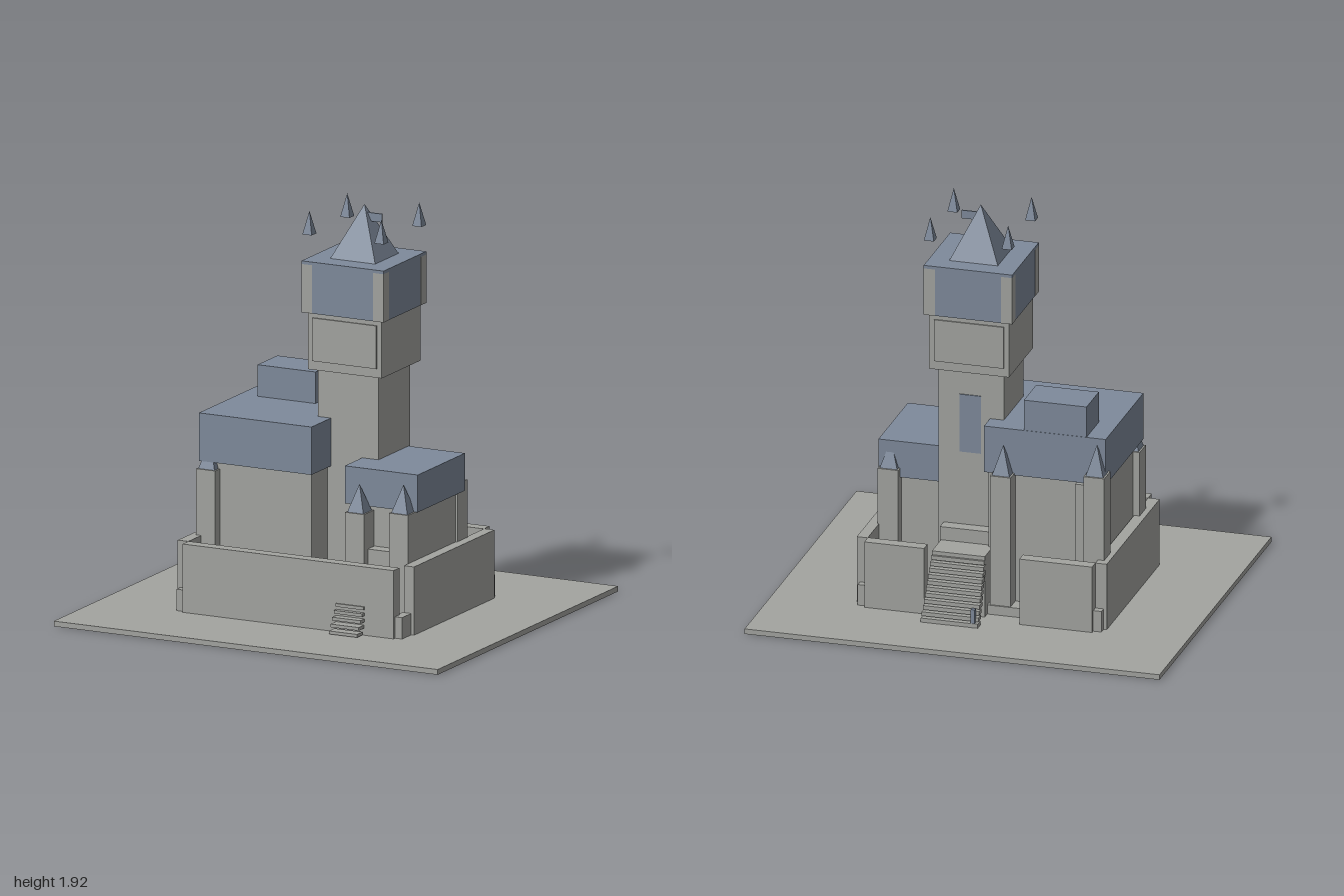
import * as THREE from 'three';

export function createModel() {
  const root = new THREE.Group();
  root.name = 'castle';

  const stone = new THREE.MeshStandardMaterial({ color: 0xa3a4a0 });
  stone.name = 'stone';
  const slate = new THREE.MeshStandardMaterial({ color: 0x7e8a9b });
  slate.name = 'slate blue';

  // Box from its limits on each axis
  function box(name, mat, x0, x1, y0, y1, z0, z1) {
    const mesh = new THREE.Mesh(new THREE.BoxGeometry(x1 - x0, y1 - y0, z1 - z0), mat);
    mesh.position.set((x0 + x1) / 2, (y0 + y1) / 2, (z0 + z1) / 2);
    mesh.name = name;
    root.add(mesh);
    return mesh;
  }

  // Square pyramid standing on y0
  function pyramid(name, x, z, half, y0, y1) {
    const geo = new THREE.ConeGeometry(half * Math.SQRT2, y1 - y0, 4).rotateY(Math.PI / 4).toNonIndexed();
    geo.computeVertexNormals();
    const mesh = new THREE.Mesh(geo, slate);
    mesh.position.set(x, (y0 + y1) / 2, z);
    mesh.name = name;
    root.add(mesh);
  }

  // Square corner turret with a pointed cap
  function turret(name, x, z, top, tip) {
    const h = 0.05;
    box(name, stone, x - h, x + h, 0.025, top, z - h, z + h);
    pyramid(name + 'Cap', x, z, 0.042, top, tip);
  }

  // Ground and low courtyard floor
  box('ground', stone, -1, 1, 0, 0.025, -0.9, 0.9);
  box('courtyardFloor', stone, -0.55, 0.5, 0.025, 0.07, -0.4, 0.4);

  // Outer walls
  const wallTop = 0.35;
  box('frontWall', stone, -0.55, 0.548, 0.025, wallTop, 0.417, 0.476);
  box('rightWall', stone, -0.605, -0.55, 0.025, wallTop, -0.43, 0.42);
  box('leftWall', stone, 0.548, 0.6, 0.025, wallTop, -0.43, 0.37);
  box('backWallRight', stone, -0.55, -0.2, 0.025, wallTop, -0.483, -0.425);
  box('backWallLeft', stone, 0.26, 0.548, 0.025, wallTop, -0.483, -0.425);

  // Low blocks at the wall corners
  box('cornerBlock', stone, 0.54, 0.585, 0.025, 0.127, 0.37, 0.46);
  box('cornerBlock', stone, 0.54, 0.585, 0.025, 0.127, -0.465, -0.425);
  box('cornerBlock', stone, -0.59, -0.545, 0.025, 0.127, 0.415, 0.46);
  box('cornerBlock', stone, -0.59, -0.545, 0.025, 0.127, -0.465, -0.425);

  // Thin front steps passing through the wall
  for (let i = 0; i < 9; i++) {
    const y = 0.03 + i * 0.029, z = 0.522 - i * 0.0163;
    box('frontStep', stone, 0.25, 0.397, y, y + 0.015, z - 0.027, z + 0.027);
  }

  // Back stairway, landing and porch
  for (let i = 0; i < 11; i++) {
    const y = 0.026 + i * 0.026, z = -0.565 + i * 0.0135;
    box('backStep', stone, -0.03 + i * 0.001, 0.245 - i * 0.001, y, y + 0.02, z - 0.022, z + 0.022);
  }
  box('stairLanding', stone, -0.02, 0.235, 0.025, 0.325, -0.44, -0.37);
  box('porchFloor', stone, -0.02, 0.235, 0.025, 0.325, -0.37, -0.295);
  box('porch', stone, -0.02, 0.24, 0.025, 0.39, -0.295, -0.22);
  box('stairPost', slate, -0.015, 0.005, 0.025, 0.115, -0.586, -0.566);

  // Large hall
  box('hallWalls', stone, -0.545, 0, 0.025, 0.7, -0.315, 0.245);
  box('hallRoof', slate, -0.57, 0.017, 0.7, 0.928, -0.33, 0.277);
  box('hallUpperRoof', slate, -0.477, -0.175, 0.928, 1.078, -0.328, -0.13);
  box('hallButtress', stone, -0.475, -0.43, 0.025, 0.7, -0.355, -0.3);
  turret('hallFrontTurret', -0.527, 0.242, 0.665, 0.8);
  turret('hallBackTurret', -0.53, -0.338, 0.755, 0.9);
  turret('hallMiddleTurret', -0.08, -0.343, 0.71, 0.85);

  // Small hall
  box('smallHallWalls', stone, 0.2, 0.545, 0.025, 0.58, -0.195, 0.235);
  box('smallHallRoof', slate, 0.18, 0.56, 0.58, 0.758, -0.215, 0.257);
  box('smallHallPorch', stone, 0.32, 0.452, 0.025, 0.388, 0.22, 0.3);
  turret('smallHallFrontTurret', 0.273, 0.288, 0.56, 0.69);
  turret('smallHallCornerTurret', 0.498, 0.28, 0.58, 0.71);
  turret('smallHallBackTurret', 0.505, -0.197, 0.625, 0.755);

  // Main tower
  box('towerShaft', stone, -0.05, 0.265, 0.025, 1.157, -0.233, 0.083);
  box('towerWindow', slate, 0.06, 0.163, 0.75, 1.035, -0.238, -0.23);
  box('towerMiddle', stone, -0.085, 0.3, 1.157, 1.43, -0.267, 0.118);
  box('middlePanel', stone, -0.06, 0.275, 1.2, 1.405, -0.274, 0.125);

  // Tower head with stone corners and blue faces
  box('towerHead', stone, -0.1, 0.315, 1.43, 1.66, -0.28, 0.135);
  for (const x of [-0.106, 0.267]) {
    for (const z of [-0.286, 0.087]) {
      box('headCorner', stone, x, x + 0.054, 1.43, 1.66, z, z + 0.054);
    }
  }
  box('headFaceFrontBack', slate, -0.052, 0.267, 1.43, 1.66, -0.285, 0.14);
  box('headFaceSides', slate, -0.105, 0.32, 1.43, 1.66, -0.232, 0.087);
  box('towerCap', slate, -0.106, 0.321, 1.66, 1.675, -0.286, 0.141);

  // Spire, flag and the four raised pinnacles
  pyramid('spire', 0.108, -0.077, 0.117, 1.675, 1.922);
  box('flag', slate, 0.108, 0.2, 1.845, 1.885, -0.081, -0.074);
  for (const x of [-0.08, 0.295]) {
    for (const z of [-0.265, 0.112]) pyramid('pinnacle', x, z, 0.024, 1.8, 1.91);
  }

  return root;
}
